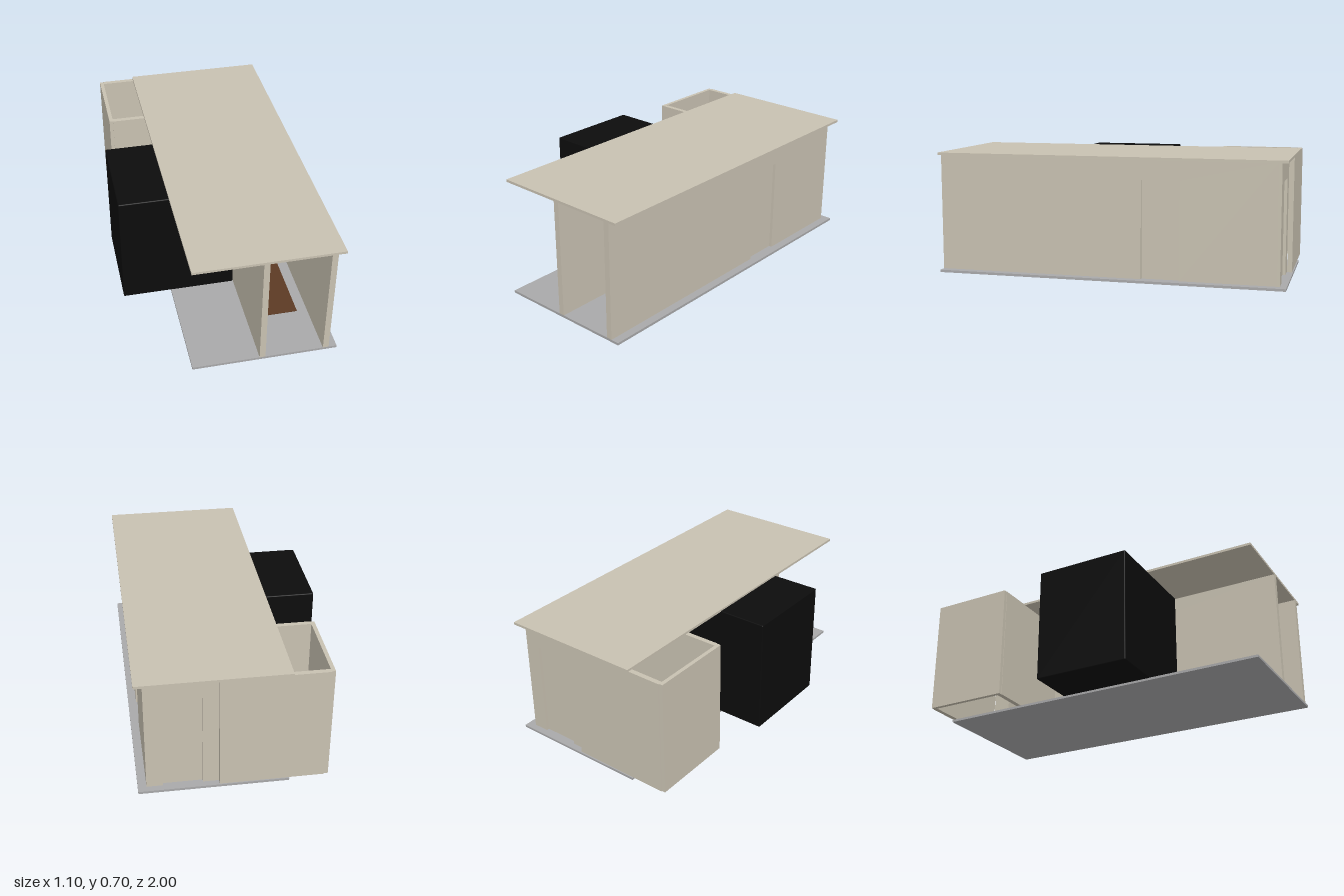
import * as THREE from 'three';
import { RoundedBoxGeometry } from 'three/addons/geometries/RoundedBoxGeometry.js';

const mat = (name, color, extra = {}) => {
  const m = new THREE.MeshStandardMaterial({ color, ...extra });
  m.name = name;
  return m;
};

export function createModel() {
  const model = new THREE.Group();
  model.name = 'hallway';
  const plaster = mat('plaster', 0xc8c1b1);
  const stone = mat('floorGrey', 0xa9a9aa);
  const black = mat('black', 0x0c0c0c);
  const wood = mat('wood', 0x5c3a24);
  const bronze = mat('bronze', 0x46321f);
  const glass = mat('lampGrey', 0xa2a3a8);
  const shadeMat = mat('shade', 0xd3cbbb, { side: THREE.DoubleSide });

  const add = (parent, name, geo, material, x = 0, y = 0, z = 0) => {
    const mesh = new THREE.Mesh(geo, material);
    mesh.name = name;
    mesh.position.set(x, y, z);
    parent.add(mesh);
    return mesh;
  };
  // box given by its limits on each axis
  const box = (parent, name, material, x0, x1, y0, y1, z0, z1) =>
    add(parent, name, new THREE.BoxGeometry(x1 - x0, y1 - y0, z1 - z0), material,
      (x0 + x1) / 2, (y0 + y1) / 2, (z0 + z1) / 2);
  const extrude = (shape, depth) =>
    new THREE.ExtrudeGeometry(shape, { depth, bevelEnabled: false });
  const rectPath = (Type, x0, x1, y0, y1) => {
    const p = new Type();
    p.moveTo(x0, y0);
    p.lineTo(x1, y0);
    p.lineTo(x1, y1);
    p.lineTo(x0, y1);
    p.closePath();
    return p;
  };

  const FLOOR = 0.014, CEIL = 0.686, THICK = 0.033;
  const HALF = 0.108, DOOR_TOP = 0.57;

  // floor and ceiling slabs
  box(model, 'floor', stone, -0.27, 0.55, 0, FLOOR, -1, 1);
  box(model, 'ceiling', plaster, -0.27, 0.55, CEIL, 0.7, -1, 1);

  // casing around a doorway, standing proud of the inner wall face
  const casing = (parent, u) => {
    const s = new THREE.Shape();
    const w = HALF + 0.021, t = DOOR_TOP + 0.019;
    [[-w, FLOOR], [-w, t], [w, t], [w, FLOOR], [HALF, FLOOR],
      [HALF, DOOR_TOP], [-HALF, DOOR_TOP], [-HALF, FLOOR]]
      .forEach(([x, y], i) => (i ? s.lineTo(x, y) : s.moveTo(x, y)));
    add(parent, 'doorCasing', extrude(s, 0.006), plaster, u);
  };

  // four-panel door leaf with knob
  const door = (parent, u, knobSide) => {
    const g = new THREE.Group();
    g.name = 'door';
    g.position.x = u;
    parent.add(g);
    box(g, 'doorSlab', plaster, -HALF, HALF, FLOOR, DOOR_TOP, -0.016, -0.008);
    const face = rectPath(THREE.Shape, -HALF, HALF, FLOOR, DOOR_TOP);
    for (const x of [-0.0785, 0.0135])
      for (const [y0, y1] of [[0.074, 0.254], [0.294, 0.514]])
        face.holes.push(rectPath(THREE.Path, x, x + 0.065, y0, y1));
    add(g, 'doorPanelling', extrude(face, 0.007), plaster, 0, 0, -0.008);
    add(g, 'doorKnob', new THREE.SphereGeometry(0.008, 16, 12), bronze, knobSide * 0.09, 0.275, 0.009);
    const stem = add(g, 'knobStem', new THREE.CylinderGeometry(0.004, 0.004, 0.01, 12), bronze,
      knobSide * 0.09, 0.275, 0.002);
    stem.rotation.x = Math.PI / 2;
  };

  // wall along local x, inner face at local z = 0, notched at each doorway
  const wall = (name, u0, u1, doorways) => {
    const g = new THREE.Group();
    g.name = name;
    model.add(g);
    const s = new THREE.Shape();
    s.moveTo(u0, FLOOR);
    for (const d of doorways) {
      s.lineTo(d.u - HALF, FLOOR);
      s.lineTo(d.u - HALF, DOOR_TOP);
      s.lineTo(d.u + HALF, DOOR_TOP);
      s.lineTo(d.u + HALF, FLOOR);
      casing(g, d.u);
      if (d.knob) door(g, d.u, d.knob);
    }
    s.lineTo(u1, FLOOR);
    s.lineTo(u1, CEIL);
    s.lineTo(u0, CEIL);
    s.closePath();
    add(g, name + 'Panel', extrude(s, THICK), plaster, 0, 0, -THICK);
    return g;
  };

  const leftWall = wall('leftWall', -0.946, 1, [{ u: -0.3, knob: 1 }]);
  leftWall.rotation.y = -Math.PI / 2;
  leftWall.position.x = 0.47;
  const rightWall = wall('rightWall', -1, 0.93, [{ u: -0.08 }, { u: 0.3, knob: -1 }, { u: 0.745 }]);
  rightWall.rotation.y = Math.PI / 2;
  rightWall.position.x = 0.14;
  const backWall = wall('backWall', 0.11, 0.503, [{ u: 0.305, knob: 1 }]);
  backWall.position.z = -0.93;

  // side room without floor or ceiling
  box(model, 'roomBackWall', plaster, -0.465, 0.11, FLOOR, 0.688, -0.993, -0.965);
  box(model, 'roomFrontWall', plaster, -0.465, 0.107, FLOOR, 0.688, -0.525, -0.497);
  box(model, 'roomEndWall', plaster, -0.487, -0.465, FLOOR, 0.688, -0.988, -0.5);

  // dark block beside the hall
  add(model, 'darkRoom', new RoundedBoxGeometry(0.658, 0.676, 0.56, 2, 0.006), black, -0.224, 0.351, 0.08);

  // runner rug
  box(model, 'rug', wood, 0.2, 0.41, FLOOR, 0.018, -0.69, 0.69);

  // hall table
  const table = new THREE.Group();
  table.name = 'hallTable';
  table.position.set(0.187, 0, 0.42);
  model.add(table);
  box(table, 'tableTop', wood, -0.041, 0.041, 0.199, 0.207, -0.08, 0.08);
  box(table, 'tableApron', wood, -0.035, 0.035, 0.175, 0.199, -0.073, 0.073);
  for (const x of [-0.032, 0.032])
    for (const z of [-0.069, 0.069])
      box(table, 'tableLeg', wood, x - 0.0045, x + 0.0045, FLOOR, 0.176, z - 0.0045, z + 0.0045);

  // table lamp
  const lathe = (pts) => new THREE.LatheGeometry(pts.map(([r, y]) => new THREE.Vector2(r, y)), 24);
  add(table, 'lampBase', lathe([[0, 0], [0.012, 0], [0.012, 0.003], [0.009, 0.006], [0.016, 0.016],
    [0.017, 0.026], [0.013, 0.037], [0.006, 0.044], [0, 0.045]]), glass, 0, 0.207, -0.02);
  add(table, 'lampStem', new THREE.CylinderGeometry(0.003, 0.003, 0.035, 10), bronze, 0, 0.263, -0.02);
  add(table, 'lampShade', new THREE.CylinderGeometry(0.015, 0.029, 0.038, 24, 1, true), shadeMat, 0, 0.28, -0.02);

  // telephone
  box(table, 'phoneBody', black, 0.002, 0.036, 0.207, 0.217, 0.02, 0.05);
  add(table, 'phoneDial', new THREE.CylinderGeometry(0.008, 0.011, 0.007, 16), black, 0.019, 0.22, 0.035);
  box(table, 'phoneHandset', black, 0.001, 0.037, 0.224, 0.229, 0.031, 0.039);

  // ceiling lamp
  add(model, 'ceilingLamp', new THREE.CylinderGeometry(0.02, 0.043, 0.024, 28, 1), shadeMat, 0.305, 0.675, 0);
  return model;
}
